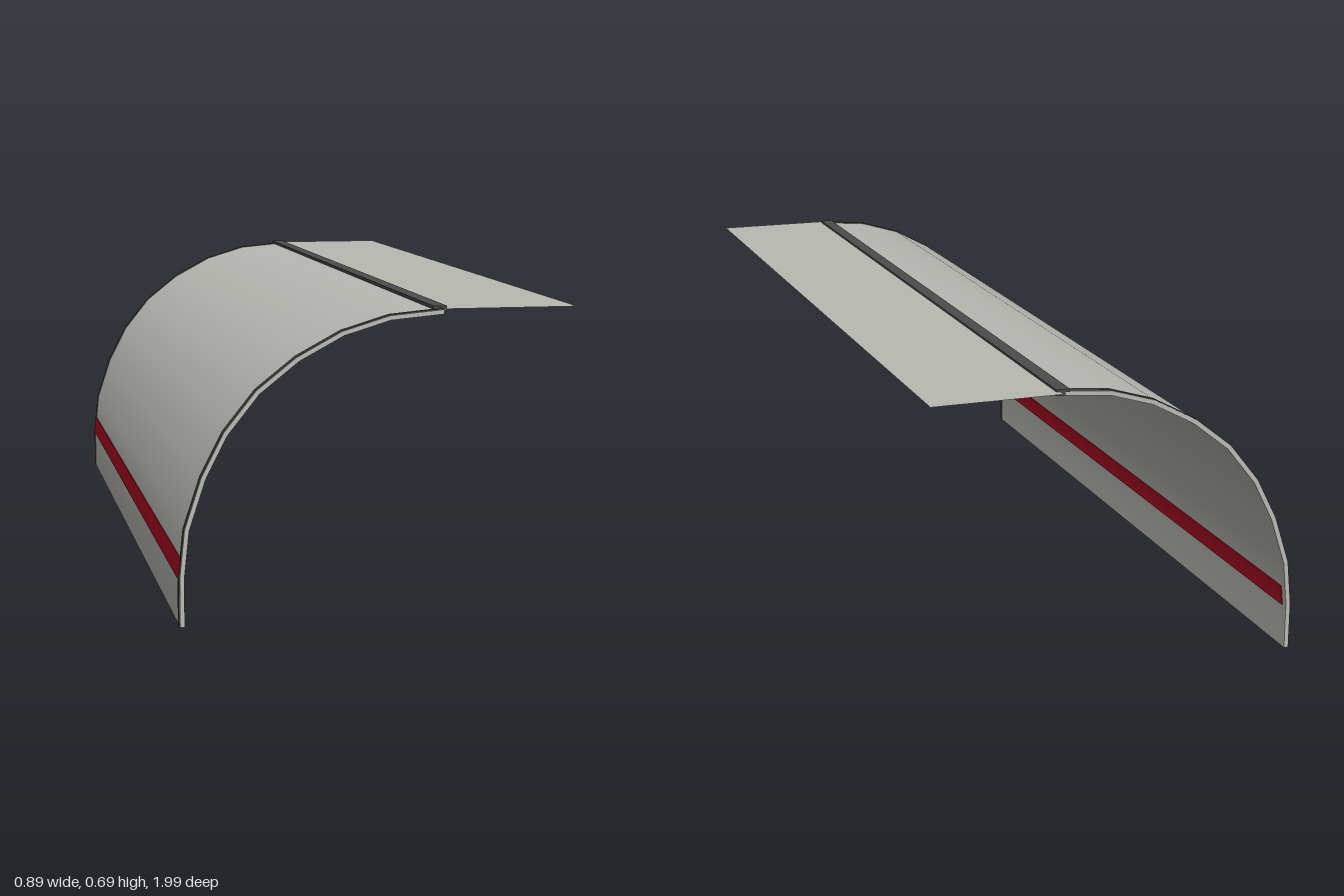
import * as THREE from 'three';
import { toCreasedNormals } from 'three/addons/utils/BufferGeometryUtils.js';

const grey = new THREE.MeshStandardMaterial({ color: 0xb9b9b4 });
grey.name = 'light grey';
const greySheet = grey.clone();
greySheet.name = 'light grey sheet';
greySheet.side = THREE.DoubleSide;
const dark = new THREE.MeshStandardMaterial({ color: 0x4c4c4c });
dark.name = 'dark grey';
const red = new THREE.MeshStandardMaterial({ color: 0xac0c22 });
red.name = 'red';

// Outer line of the curved shell, from the foot up to the hinge
const profile = [
  [-0.442, 0], [-0.442, 0.11], [-0.431, 0.214], [-0.394, 0.327], [-0.345, 0.423],
  [-0.274, 0.512], [-0.186, 0.582], [-0.086, 0.636], [0.02, 0.668], [0.14, 0.679],
].map(([x, y]) => new THREE.Vector2(x, y));

// Moves a line sideways; positive is outward (left of the direction of travel)
function offsetLine(points, d) {
  return points.map((p, i) => {
    const a = points[Math.max(i - 1, 0)], b = points[Math.min(i + 1, points.length - 1)];
    const t = b.clone().sub(a).normalize();
    return new THREE.Vector2(p.x - t.y * d, p.y + t.x * d);
  });
}

// Curved plate between two offsets of a line, running from z0 to z1
function curvedPlate(name, material, points, inner, outer, z0, z1) {
  const shape = new THREE.Shape([...offsetLine(points, inner), ...offsetLine(points, outer).reverse()]);
  const geo = new THREE.ExtrudeGeometry(shape, { depth: z1 - z0, bevelEnabled: false });
  geo.translate(0, 0, z0);
  const mesh = new THREE.Mesh(toCreasedNormals(geo, 0.5), material);
  mesh.name = name;
  return mesh;
}

function box(name, material, x0, x1, y0, y1, z0, z1) {
  const mesh = new THREE.Mesh(new THREE.BoxGeometry(x1 - x0, y1 - y0, z1 - z0), material);
  mesh.position.set((x0 + x1) / 2, (y0 + y1) / 2, (z0 + z1) / 2);
  mesh.name = name;
  return mesh;
}

export function createModel() {
  const model = new THREE.Group();
  model.name = 'curvedCover';

  // Curved shell
  model.add(curvedPlate('shell', grey, profile, -0.01, 0, -0.97, 0.99));

  // Red stripe, showing on both faces of the shell
  const stripeLine = [[-0.442, 0.102], [-0.442, 0.11], [-0.438, 0.15]].map(([x, y]) => new THREE.Vector2(x, y));
  model.add(curvedPlate('stripe', red, stripeLine, -0.0125, 0.002, -0.952, 0.978));

  // Dark edge trims around both ends
  model.add(curvedPlate('backTrim', dark, profile, -0.004, 0.002, -0.968, -0.955));
  model.add(curvedPlate('frontTrim', dark, profile, -0.004, 0.002, 0.972, 0.986));
  model.add(box('frontTrimFoot', dark, -0.4445, -0.4305, 0.001, 0.1, 0.97, 0.986));

  // Hinge strip in two steps
  const hinge = new THREE.Group();
  hinge.name = 'hinge';
  hinge.add(box('hingeTop', dark, 0.12, 0.151, 0.678, 0.685, -0.98, 0.972));
  hinge.add(box('hingeBottom', dark, 0.13, 0.151, 0.671, 0.678, -0.98, 0.972));
  model.add(hinge);

  // Flat sheet beside the hinge
  const sheet = new THREE.Mesh(new THREE.PlaneGeometry(0.3, 1.988).rotateX(-Math.PI / 2), greySheet);
  sheet.position.set(0.292, 0.68, -0.006);
  sheet.name = 'flatSheet';
  model.add(sheet);

  return model;
}
